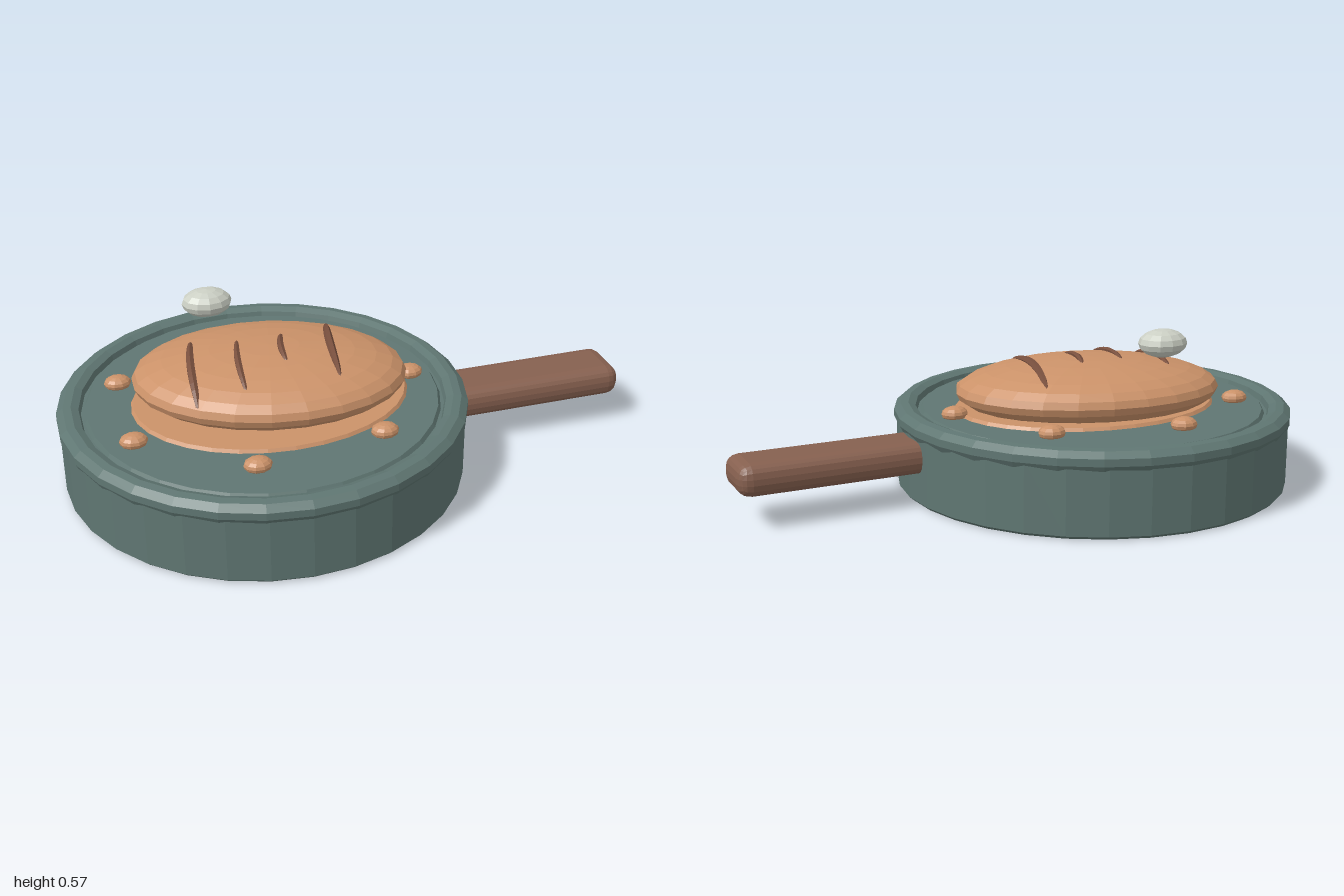
import * as THREE from 'three';
import { RoundedBoxGeometry } from 'three/addons/geometries/RoundedBoxGeometry.js';

const paint = (name, color) => new THREE.MeshStandardMaterial({ name, color, flatShading: true });

export function createModel() {
  const group = new THREE.Group();
  const iron = paint('grey green enamel', 0x5f7672);
  const crust = paint('golden crust', 0xcb9269);
  const wood = paint('brown wood', 0x86604f);
  const char = paint('dark crust', 0x79503e);
  const white = paint('off white', 0xcbcfc4);
  const panX = -0.3;

  const add = (name, geometry, material, x = 0, y = 0, z = 0) => {
    const mesh = new THREE.Mesh(geometry, material);
    mesh.name = name;
    mesh.position.set(x, y, z);
    group.add(mesh);
    return mesh;
  };
  const lathe = (points, sides) =>
    new THREE.LatheGeometry(points.map(([r, y]) => new THREE.Vector2(r, y)), sides);
  const ellipsoid = (rx, ry, rz, w, h) => new THREE.SphereGeometry(1, w, h).scale(rx, ry, rz);

  // Pan: solid body, thick rolled rim and raised cooking surface
  add('panBody', lathe([[0, 0], [0.677, 0], [0.687, 0.01], [0.687, 0.25], [0.63, 0.256], [0, 0.256]], 32), iron, panX);
  add('panRim', lathe([[0.68, 0.212], [0.695, 0.24], [0.695, 0.265], [0.672, 0.284], [0.645, 0.287],
    [0.62, 0.276], [0.612, 0.25]], 30), iron, panX);
  add('panFloor', new THREE.CylinderGeometry(0.595, 0.605, 0.016, 32), iron, panX, 0.262);

  // Handle, turned slightly towards the back
  add('handle', new RoundedBoxGeometry(0.7, 0.11, 0.208, 2, 0.045), wood, 0.643, 0.165, -0.007).rotation.y = 0.032;

  // Flat base under the loaf
  add('loafBase', new THREE.CylinderGeometry(0.98, 1, 0.012, 32).scale(0.475, 1, 0.37), crust, -0.275, 0.275);

  // Loaf
  const loaf = { x: -0.27, y: 0.335, z: -0.03, rx: 0.467, ry: 0.11, rz: 0.328, turn: 0.2 };
  add('loaf', ellipsoid(loaf.rx, loaf.ry, loaf.rz, 24, 14), crust, loaf.x, loaf.y, loaf.z).rotation.y = -loaf.turn;
  const loafTop = (x, z) => {
    const dx = x - loaf.x, dz = z - loaf.z, c = Math.cos(loaf.turn), s = Math.sin(loaf.turn);
    const u = (dx * c + dz * s) / loaf.rx, v = (dz * c - dx * s) / loaf.rz;
    return loaf.y + loaf.ry * Math.sqrt(Math.max(0, 1 - u * u - v * v));
  };

  // Score marks laid over the loaf: back x, back z, front x, front z, radius
  const scores = [
    [-0.51, -0.18, -0.553, 0.2, 0.015], [-0.363, -0.11, -0.395, 0.2, 0.012],
    [-0.208, -0.11, -0.235, 0.09, 0.012], [-0.02, -0.23, -0.08, 0.2, 0.015],
  ];
  scores.forEach(([x0, z0, x1, z1, radius]) => {
    const points = [];
    for (let i = 0; i <= 6; i++) {
      const t = i / 6, bow = Math.sin(t * Math.PI);
      const x = x0 + (x1 - x0) * t - 0.012 * bow, z = z0 + (z1 - z0) * t;
      points.push(new THREE.Vector3(x, loafTop(x, z) - 0.006 + 0.007 * bow, z));
    }
    const tube = new THREE.TubeGeometry(new THREE.CatmullRomCurve3(points), 14, radius, 6);
    // Taper both ends of the tube to closed points
    const pos = tube.attributes.position, centre = new THREE.Vector3(), p = new THREE.Vector3();
    for (let i = 0; i <= 14; i++) {
      tube.parameters.path.getPointAt(i / 14, centre);
      const k = Math.pow(Math.sin(Math.PI * i / 14), 0.4);
      for (let j = 0; j <= 6; j++) {
        p.fromBufferAttribute(pos, i * 7 + j).sub(centre).multiplyScalar(k).add(centre);
        pos.setXYZ(i * 7 + j, p.x, p.y, p.z);
      }
    }
    add('scoreMark', tube, char);
  });

  // Ring of small round pieces
  for (let i = 0; i < 7; i++) {
    const a = i * Math.PI * 2 / 7;
    add('crumb', ellipsoid(0.047, 0.026, 0.038, 10, 8), crust,
      panX + Math.cos(a) * 0.52, 0.284, Math.sin(a) * 0.45);
  }

  // Small pale piece above the loaf
  add('palePiece', ellipsoid(0.087, 0.048, 0.069, 12, 8), white, -0.435, 0.52, -0.255);

  return group;
}
